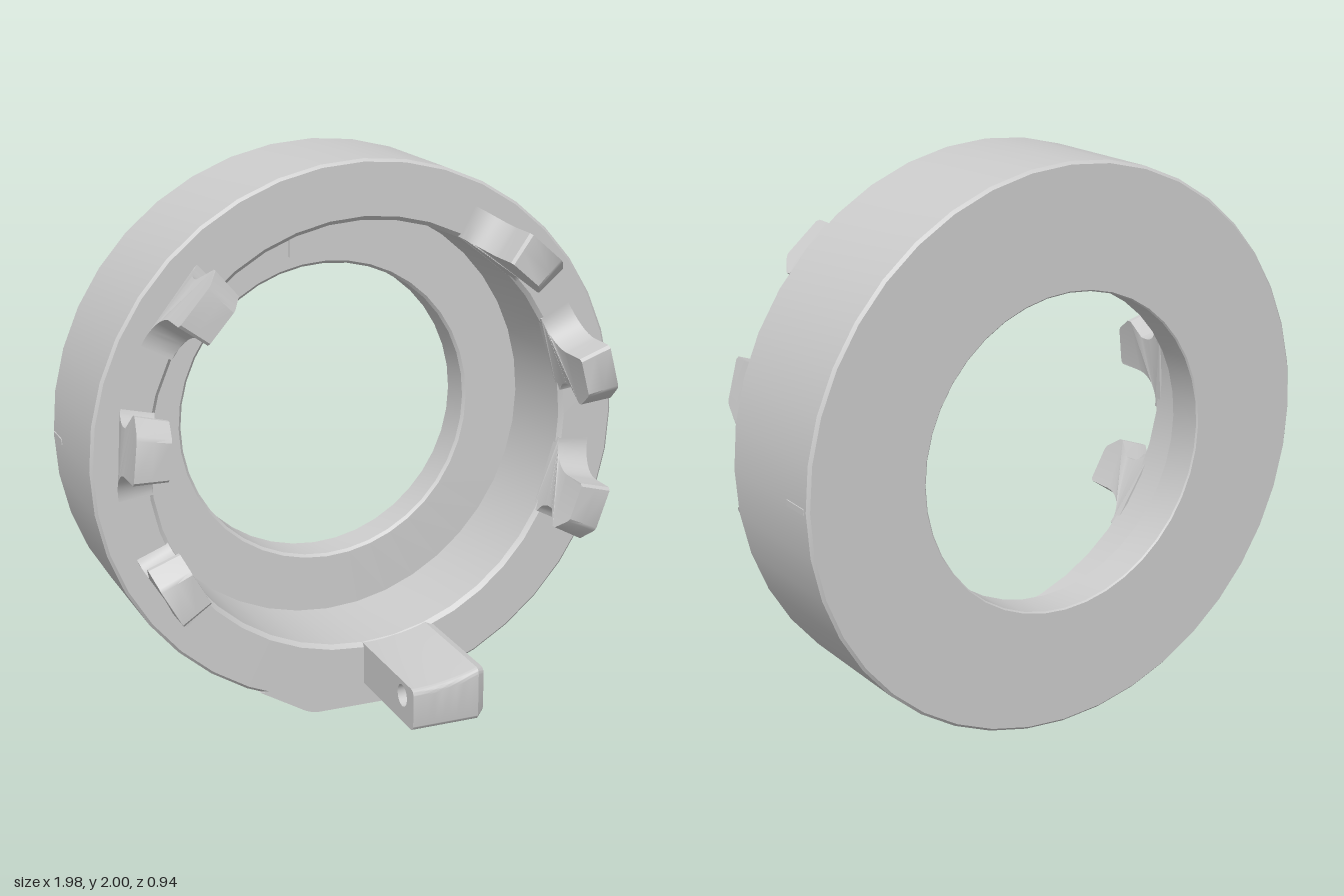
import * as THREE from 'three';
import { toCreasedNormals } from 'three/addons/utils/BufferGeometryUtils.js';

const CY = 1.015;      // height of the ring axis
const BORE = 0.775;    // radius of the front bore
const FRONT = 0.03, BACK = -0.47;

export function createModel() {
  const model = new THREE.Group();
  const mat = new THREE.MeshStandardMaterial({ color: 0xcccccc });

  const add = (name, geo, crease = 0.5) => {
    const mesh = new THREE.Mesh(toCreasedNormals(geo, crease), mat);
    mesh.name = name;
    model.add(mesh);
    return mesh;
  };

  // Move every vertex of a geometry by a rule
  const warp = (geo, rule) => {
    const p = geo.attributes.position;
    const v = new THREE.Vector3();
    for (let i = 0; i < p.count; i++) {
      rule(v.fromBufferAttribute(p, i));
      p.setXYZ(i, v.x, v.y, v.z);
    }
    return geo;
  };

  // Housing ring: stepped bore with a floor and a through hole
  const profile = [
    [0.56, BACK], [0.975, BACK], [0.985, BACK + 0.01],
    [0.985, FRONT - 0.01], [0.975, FRONT], [0.79, FRONT], [BORE, FRONT - 0.015],
    [BORE, -0.33], [0.565, -0.33], [0.555, -0.34], [0.555, BACK + 0.005], [0.56, BACK],
  ].map(([r, y]) => new THREE.Vector2(r, y));
  const ring = new THREE.LatheGeometry(profile, 40);
  ring.rotateX(Math.PI / 2);
  add('housingRing', ring).position.y = CY;

  // Flat foot at the bottom of the front rim
  const foot = new THREE.Shape();
  foot.moveTo(-0.4, 0.115);
  foot.lineTo(-0.23, 0.015);
  foot.quadraticCurveTo(-0.2, 0, -0.17, 0);
  foot.lineTo(0.17, 0);
  foot.quadraticCurveTo(0.2, 0, 0.23, 0.015);
  foot.lineTo(0.4, 0.115);
  foot.quadraticCurveTo(0, 0.1, -0.4, 0.115);
  const footGeo = new THREE.ExtrudeGeometry(foot, { depth: 0.04, bevelEnabled: false });
  footGeo.translate(0, 0, -0.01);
  warp(footGeo, (v) => { if (v.z < 0 && v.y < 0.09) v.y += 0.03; });
  add('footFlat', footGeo);

  // Locking teeth: hooked on one side, scooped on the other, bent round the bore
  const tooth = new THREE.Shape();
  tooth.moveTo(-0.11, 0.0);
  tooth.lineTo(0.2, 0.0);
  tooth.lineTo(0.2, FRONT);
  tooth.absarc(0.195, 0.145, 0.115, -Math.PI / 2, -Math.PI, true);
  tooth.lineTo(0.08, 0.24);
  tooth.lineTo(0.07, 0.25);
  tooth.lineTo(-0.065, 0.25);
  tooth.lineTo(-0.078, 0.243);
  tooth.lineTo(-0.125, 0.185);
  tooth.lineTo(-0.125, 0.168);
  tooth.lineTo(-0.07, 0.115);
  tooth.quadraticCurveTo(-0.06, 0.05, -0.11, FRONT);
  for (const deg of [49, 14.5, -20, 139, 174, 209]) {
    const geo = new THREE.ExtrudeGeometry(tooth, { depth: 0.12, steps: 2, bevelEnabled: false, curveSegments: 8 });
    warp(geo, (v) => {
      const a = THREE.MathUtils.degToRad(deg) + v.x / 0.84;
      const r = BORE + 0.003 + v.z;
      v.set(r * Math.cos(a), CY + r * Math.sin(a), v.y);
    });
    add('lockingTooth', geo);
  }

  // Lug: forward arm with a cross hole; its top follows the bore
  const HY = 0.182, HZ = 0.375, W = 0.275, STEPS = 10;
  const lug = new THREE.Shape();
  lug.moveTo(0, 0.085);
  lug.lineTo(0, 0.27);
  lug.lineTo(-0.445, 0.27);
  lug.quadraticCurveTo(-0.47, 0.27, -0.47, 0.245);
  lug.lineTo(-0.47, 0.11);
  lug.quadraticCurveTo(-0.47, 0.085, -0.445, 0.085);
  lug.closePath();
  const hole = new THREE.Path();
  hole.absarc(-HZ, HY, 0.04, 0, Math.PI * 2, true);
  lug.holes.push(hole);
  const lugGeo = new THREE.ExtrudeGeometry(lug, { depth: W, steps: STEPS, bevelEnabled: false, curveSegments: 12 });
  lugGeo.rotateY(Math.PI / 2);
  warp(lugGeo, (v) => {
    const dy = v.y - HY, dz = v.z - HZ;
    const end = v.x > W - 0.001;
    if (Math.hypot(dy, dz) < 0.05) {
      // countersink on the outer face
      if (end) { v.y = HY + dy * 1.85; v.z = HZ + dz * 1.85; }
      return;
    }
    if (dy > 0.04) v.y += CY - Math.sqrt(BORE * BORE - v.x * v.x) - 0.27 - 0.002;
    if (end) {
      // softened outer edge
      v.y -= Math.sign(dy) * 0.018;
      if (v.z > 0.4) v.z -= 0.018;
    }
  });
  add('lug', lugGeo);

  // Blank plate on the bore floor
  const plate = new THREE.BoxGeometry(0.28, 0.15, 0.012);
  plate.translate(0, 1.68, -0.328);
  add('floorPlate', plate);

  // Index marks on both sides and underneath
  for (const a of [0, Math.PI, -Math.PI / 2]) {
    const mark = new THREE.BoxGeometry(0.01, 0.02, 0.105);
    mark.translate(0.983, 0, -0.395);
    mark.rotateZ(a);
    add('indexMark', mark).position.y = CY;
  }

  return model;
}
